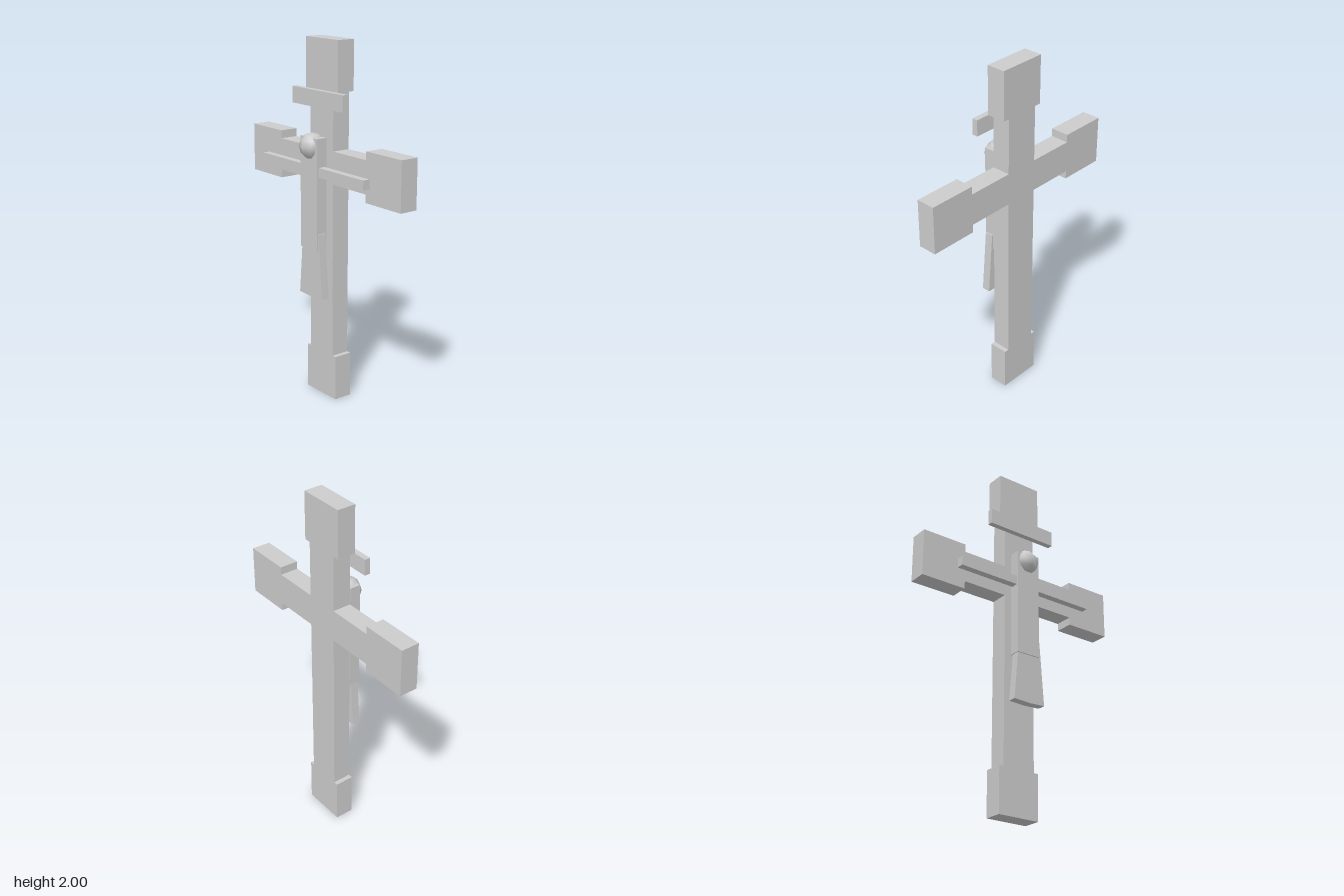
import * as THREE from 'three';

const material = new THREE.MeshStandardMaterial({ color: 0xcccccc });

function addMesh(group, name, geometry) {
  const mesh = new THREE.Mesh(geometry, material);
  mesh.name = name;
  group.add(mesh);
  return mesh;
}

// Box given by its minimum and maximum corners
function addBox(group, name, [x0, y0, z0], [x1, y1, z1]) {
  const mesh = addMesh(group, name, new THREE.BoxGeometry(x1 - x0, y1 - y0, z1 - z0));
  mesh.position.set((x0 + x1) / 2, (y0 + y1) / 2, (z0 + z1) / 2);
}

// Flat outline in x and y, given depth from z0 to z1
function addSlab(group, name, points, z0, z1) {
  const shape = new THREE.Shape(points.map(([x, y]) => new THREE.Vector2(x, y)));
  const geometry = new THREE.ExtrudeGeometry(shape, { depth: z1 - z0, bevelEnabled: false });
  geometry.translate(0, 0, z0);
  addMesh(group, name, geometry);
}

export function createModel() {
  const model = new THREE.Group();
  model.name = 'crucifix';

  // Cross with widened ends: right half of the outline, mirrored
  const half = [
    [0.125, 0], [0.125, 0.255], [0.098, 0.255], [0.098, 1.235],
    [0.365, 1.235], [0.365, 1.19], [0.632, 1.19], [0.632, 1.46],
    [0.365, 1.46], [0.365, 1.415], [0.098, 1.415], [0.098, 1.73],
    [0.135, 1.73], [0.135, 2],
  ];
  const mirrored = half.map(([x, y]) => [-x, y]).reverse();
  addSlab(model, 'cross', [...half, ...mirrored], -0.12, -0.014);

  // Name board above the figure
  addBox(model, 'board', [-0.216, 1.64, -0.014], [0.214, 1.73, 0.018]);

  // Figure
  const figure = new THREE.Group();
  figure.name = 'figure';
  model.add(figure);
  addBox(figure, 'torso', [-0.072, 0.873, 0.009], [0.07, 1.487, 0.073]);
  addBox(figure, 'arms', [-0.435, 1.28, 0.02], [0.433, 1.332, 0.061]);
  addSlab(figure, 'legs', [
    [-0.09, 0.604], [0.01, 0.599], [0.106, 0.604], [0.077, 0.965], [-0.06, 0.965],
  ], 0.02, 0.067);

  const head = addMesh(figure, 'head', new THREE.SphereGeometry(0.072, 8, 6));
  head.position.set(-0.002, 1.438, 0.048);

  return model;
}
